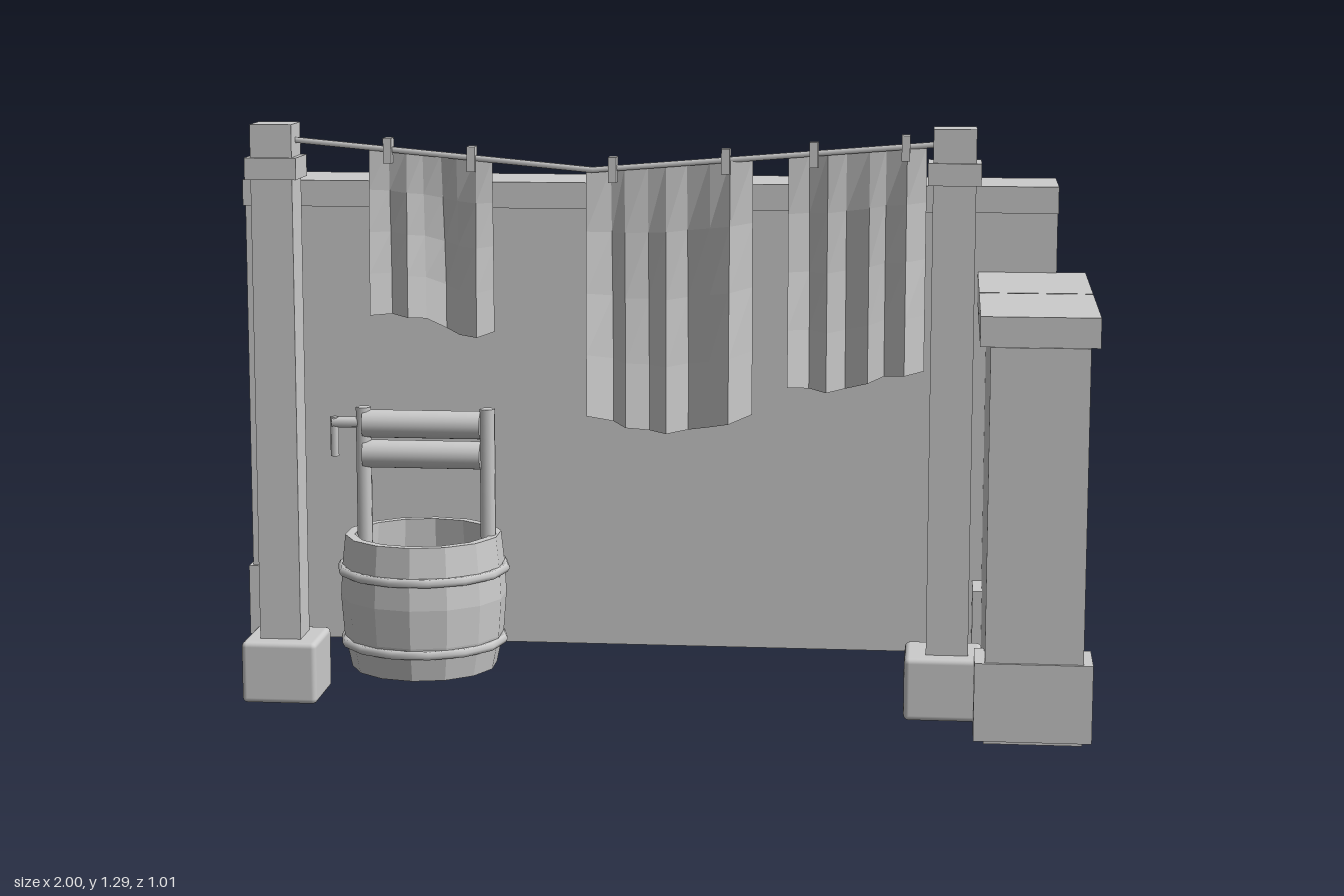
import * as THREE from 'three';
import { RoundedBoxGeometry } from 'three/addons/geometries/RoundedBoxGeometry.js';

const stone = new THREE.MeshStandardMaterial({ color: 0xcccccc });
stone.name = 'plain grey';
stone.side = THREE.DoubleSide;

export function createModel() {
  const model = new THREE.Group();
  model.name = 'courtyard';

  const add = (name, geo, parent = model) => {
    const mesh = new THREE.Mesh(geo, stone);
    mesh.name = name;
    parent.add(mesh);
    return mesh;
  };
  // Box given by its lower and upper limits
  const box = (name, x0, x1, y0, y1, z0, z1, parent = model) => {
    const m = add(name, new THREE.BoxGeometry(x1 - x0, y1 - y0, z1 - z0), parent);
    m.position.set((x0 + x1) / 2, (y0 + y1) / 2, (z0 + z1) / 2);
    return m;
  };
  // Round bar between two points
  const bar = (name, a, b, r, sides, parent = model) => {
    const p = new THREE.Vector3(...a), q = new THREE.Vector3(...b);
    const d = q.clone().sub(p);
    const m = add(name, new THREE.CylinderGeometry(r, r, d.length(), sides), parent);
    m.position.copy(p).add(q).multiplyScalar(0.5);
    m.quaternion.setFromUnitVectors(new THREE.Vector3(0, 1, 0), d.normalize());
    return m;
  };

  // Tall back wall and its coping stones
  box('backWall', -0.993, 0.933, 0, 1.056, -0.486, -0.29);
  for (let i = 0; i < 4; i++) {
    const x = -0.995 + i * 0.484;
    box('backCoping', x, x + 0.477, 1.056, 1.118, -0.507, -0.272);
  }
  // Low side wall and its coping stones
  box('sideWall', 0.772, 0.98, 0, 0.852, -0.31, 0.497);
  box('sideCoping', 0.75, 1, 0.852, 0.916, 0.1, 0.492);
  box('sideCoping', 0.75, 1, 0.852, 0.916, -0.302, 0.093);
  // Corner blocks at the feet of the walls
  box('cornerBlock', -1, -0.868, 0.007, 0.177, -0.505, -0.275);
  box('cornerBlock', 0.82, 0.95, 0.007, 0.177, -0.505, -0.31);
  box('cornerBlock', 0.75, 1, 0.007, 0.177, -0.315, -0.175);
  box('cornerBlock', 0.75, 1, 0.007, 0.177, 0.37, 0.505);

  // Clothesline posts
  for (const x of [-0.793, 0.692]) {
    const post = new THREE.Group();
    post.name = 'linePost';
    post.position.set(x, 0, 0.25);
    model.add(post);
    box('shaft', -0.046, 0.046, 0.1, 1.29, -0.046, 0.046, post);
    box('collar', -0.057, 0.057, 1.17, 1.218, -0.057, 0.057, post);
    const base = add('postBase', new RoundedBoxGeometry(0.17, 0.14, 0.17, 2, 0.012), post);
    base.position.set(x < 0 ? 0.003 : -0.008, 0.07, 0);
  }

  // Sagging rope
  const left = [-0.75, 1.254, 0.25], low = [-0.09, 1.195, 0.268], right = [0.65, 1.254, 0.25];
  bar('rope', left, low, 0.007, 6);
  bar('rope', low, right, 0.007, 6);
  const ropeAt = (x) => {
    const [a, b] = x < low[0] ? [left, low] : [low, right];
    const t = (x - a[0]) / (b[0] - a[0]);
    return [a[1] + (b[1] - a[1]) * t, a[2] + (b[2] - a[2]) * t];
  };

  // Hanging cloths: folds deepen towards the hem; each fold is [x, z, hem y]
  const cloths = [
    [[-0.583, 0.27, 0.87], [-0.54, 0.235, 0.87], [-0.5, 0.265, 0.865], [-0.465, 0.23, 0.86],
      [-0.425, 0.198, 0.835], [-0.39, 0.235, 0.825], [-0.345, 0.28, 0.825], [-0.31, 0.25, 0.835]],
    [[-0.103, 0.28, 0.655], [-0.05, 0.22, 0.635], [-0.02, 0.25, 0.625], [0.03, 0.225, 0.617],
      [0.07, 0.255, 0.614], [0.115, 0.21, 0.617], [0.165, 0.25, 0.63], [0.21, 0.3, 0.645], [0.258, 0.24, 0.658]],
    [[0.335, 0.25, 0.72], [0.38, 0.198, 0.712], [0.42, 0.25, 0.71], [0.46, 0.215, 0.715],
      [0.51, 0.25, 0.732], [0.545, 0.225, 0.745], [0.59, 0.285, 0.755], [0.632, 0.24, 0.76]],
  ];
  for (const folds of cloths) {
    const rows = 4, pos = [], idx = [], n = folds.length;
    for (let r = 0; r <= rows; r++) {
      const t = r / rows;
      for (const [x, z, hem] of folds) {
        const [ry, rz] = ropeAt(x);
        const depth = 0.15 + 0.85 * Math.min(1, t * 1.5);
        pos.push(x, ry + (hem - ry) * t, rz + (z - rz) * depth);
      }
    }
    for (let r = 0; r < rows; r++) {
      for (let i = 0; i < n - 1; i++) {
        const a = r * n + i, b = a + n;
        idx.push(a, b, a + 1, a + 1, b, b + 1);
      }
    }
    let geo = new THREE.BufferGeometry();
    geo.setAttribute('position', new THREE.Float32BufferAttribute(pos, 3));
    geo.setIndex(idx);
    geo = geo.toNonIndexed();
    geo.computeVertexNormals();
    add('cloth', geo);
  }
  // Pegs
  for (const x of [-0.54, -0.355, -0.045, 0.2, 0.39, 0.587]) {
    const [y, z] = ropeAt(x);
    box('peg', x - 0.009, x + 0.009, y - 0.03, y + 0.025, z - 0.017, z + 0.017);
  }

  // Barrel well
  const well = new THREE.Group();
  well.name = 'well';
  well.position.set(-0.53, 0, -0.06);
  model.add(well);
  const profile = [[0, 0.03], [0.15, 0.03], [0.155, 0], [0.17, 0], [0.187, 0.08], [0.194, 0.17], [0.19, 0.24],
    [0.182, 0.315], [0.16, 0.315], [0.167, 0.235], [0, 0.235]].map(([r, y]) => new THREE.Vector2(r, y));
  const barrelGeo = new THREE.LatheGeometry(profile, 14).toNonIndexed();
  barrelGeo.computeVertexNormals();
  add('barrel', barrelGeo, well);
  for (const [y, r] of [[0.235, 0.193], [0.065, 0.187]]) {
    const hoop = add('hoop', new THREE.TorusGeometry(r, 0.011, 6, 14), well);
    hoop.rotation.x = Math.PI / 2;
    hoop.position.y = y;
  }

  // Winding frame with two rollers and a crank
  for (const x of [-0.136, 0.155]) bar('upright', [x, 0.1, 0.01], [x, 0.612, 0.01], 0.018, 10, well);
  for (const y of [0.573, 0.502]) bar('roller', [-0.136, y, 0.01], [0.14, y, 0.01], 0.033, 16, well);
  bar('crankArm', [-0.21, 0.575, 0.01], [-0.13, 0.575, 0.01], 0.013, 8, well);
  bar('crankHandle', [-0.205, 0.495, 0.01], [-0.205, 0.588, 0.01], 0.01, 8, well);

  return model;
}
